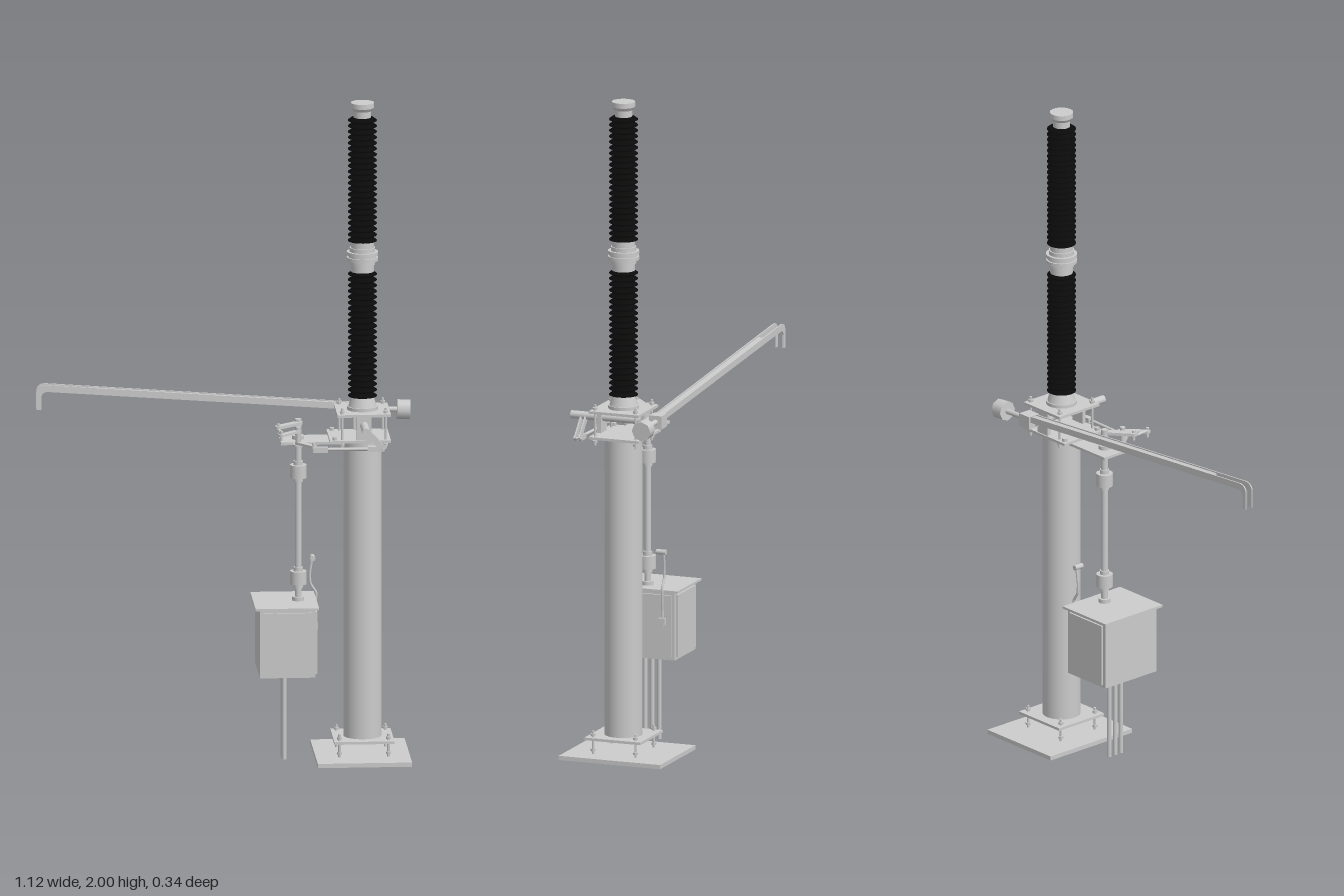
import * as THREE from 'three';

const grey = new THREE.MeshStandardMaterial({ color: 0xcccccc, side: THREE.DoubleSide });
const black = new THREE.MeshStandardMaterial({ color: 0x0a0a0a });
const CX = 0.407; // column axis
const V = (x, y, z) => new THREE.Vector3(x, y, z);

export function createModel() {
  const root = new THREE.Group();

  const add = (name, geo, x = 0, y = 0, z = 0, mat = grey) => {
    const m = new THREE.Mesh(geo, mat);
    m.name = name;
    m.position.set(x, y, z);
    root.add(m);
    return m;
  };
  // box given by its minimum and maximum corners
  const box = (name, x0, x1, y0, y1, z0, z1) =>
    add(name, new THREE.BoxGeometry(x1 - x0, y1 - y0, z1 - z0), (x0 + x1) / 2, (y0 + y1) / 2, (z0 + z1) / 2);
  // round bar between two points
  const bar = (name, a, b, r, seg = 16) => {
    const m = add(name, new THREE.CylinderGeometry(r, r, a.distanceTo(b), seg));
    m.position.copy(a).lerp(b, 0.5);
    m.quaternion.setFromUnitVectors(V(0, 1, 0), b.clone().sub(a).normalize());
    return m;
  };
  // flat bar with round ends, lying in the XZ plane
  const flatLink = (name, x0, z0, x1, z1, y, w, t) => {
    const len = Math.hypot(x1 - x0, z1 - z0);
    const s = new THREE.Shape();
    s.absarc(0, 0, w, Math.PI / 2, Math.PI * 1.5);
    s.absarc(len, 0, w, -Math.PI / 2, Math.PI / 2);
    const g = new THREE.ExtrudeGeometry(s, { depth: t, bevelEnabled: false, curveSegments: 8 });
    g.rotateX(Math.PI / 2);
    add(name, g, x0, y, z0).rotation.y = -Math.atan2(z1 - z0, x1 - x0);
  };
  const bolt = (x, z, y0, y1) => {
    bar('stud', V(x, y0, z), V(x, y1, z), 0.004, 8);
    for (const y of [y0 + 0.012, y1 - 0.012]) add('nut', new THREE.CylinderGeometry(0.008, 0.008, 0.007, 6), x, y, z);
  };

  // base and column
  box('basePlate', 0.263, 0.545, 0, 0.013, -0.173, 0.153);
  box('columnFlange', CX - 0.09, CX + 0.09, 0.056, 0.064, -0.09, 0.09);
  add('column', new THREE.CylinderGeometry(0.057, 0.057, 0.92, 40), CX, 0.52, 0);
  for (const sx of [-1, 1]) for (const sz of [-1, 1]) {
    bolt(CX + sx * 0.073, sz * 0.068, 0.013, 0.083);
    bolt(CX + sx * 0.065, sz * 0.065, 0.955, 1.08);
  }

  // column head: mounting plates and bracket for the linkage
  box('lowerHeadPlate', 0.305, CX + 0.08, 0.975, 0.983, -0.08, 0.08);
  box('upperHeadPlate', CX - 0.08, CX + 0.08, 1.054, 1.062, -0.08, 0.08);
  box('linkageBracket', 0.16, 0.34, 0.966, 0.974, -0.05, 0.05);
  for (const z of [-0.065, 0.065]) add('bracketBolt', new THREE.CylinderGeometry(0.008, 0.008, 0.02, 6), 0.32, 0.982, z);

  // post insulator: two ribbed sections with metal fittings
  const sheds = (name, y0, y1, n) => {
    const pts = [new THREE.Vector2(0.001, y0)];
    const p = (y1 - y0) / n;
    for (let i = 0; i < n; i++) {
      const y = y0 + i * p;
      pts.push(new THREE.Vector2(0.032, y), new THREE.Vector2(0.032, y + p * 0.3),
        new THREE.Vector2(0.043, y + p * 0.42), new THREE.Vector2(0.043, y + p * 0.55));
    }
    pts.push(new THREE.Vector2(0.032, y1), new THREE.Vector2(0.001, y1));
    add(name, new THREE.LatheGeometry(pts, 32), CX, 0, 0, black);
  };
  sheds('lowerInsulator', 1.095, 1.485, 22);
  sheds('upperInsulator', 1.57, 1.955, 22);
  // stacked straight steps: [radius, bottom, top, topRadius]
  const fitting = (name, steps) => steps.forEach(([r, y0, y1, rt = r]) =>
    add(name, new THREE.CylinderGeometry(rt, r, y1 - y0, 32), CX, (y0 + y1) / 2, 0));
  fitting('insulatorFoot', [[0.046, 1.062, 1.072], [0.042, 1.072, 1.1, 0.034]]);
  fitting('insulatorJoint', [[0.034, 1.48, 1.505], [0.038, 1.505, 1.517], [0.047, 1.517, 1.528],
    [0.042, 1.528, 1.534], [0.047, 1.534, 1.545], [0.038, 1.545, 1.557], [0.034, 1.557, 1.575]]);
  fitting('topCap', [[0.026, 1.95, 1.975], [0.028, 1.975, 1.985, 0.035], [0.035, 1.985, 2]]);

  // turning shaft, hub and counterweight
  const shaftY = 1.028, armZ = -0.117;
  bar('shaft', V(CX, shaftY, -0.11), V(CX, shaftY, 0.167), 0.012, 24);
  for (const z of [-0.07, 0.07]) box('shaftBearing', CX - 0.022, CX + 0.022, 0.983, 1.054, z - 0.006, z + 0.006);
  box('armHub', 0.4, 0.443, 1.015, 1.055, -0.137, -0.097);
  bar('counterweightRod', V(0.44, 1.036, armZ), V(0.53, 1.032, armZ), 0.008);
  bar('counterweight', V(0.518, 1.033, armZ), V(0.557, 1.031, armZ), 0.03, 8);

  // swinging arm: two side bars with hooked ends and a web between them
  const arm = new THREE.Shape();
  arm.moveTo(0.43, 1.033);
  arm.lineTo(-0.525, 1.105);
  arm.quadraticCurveTo(-0.543, 1.106, -0.545, 1.09);
  arm.lineTo(-0.545, 1.05);
  arm.lineTo(-0.56, 1.05);
  arm.lineTo(-0.56, 1.1);
  arm.quadraticCurveTo(-0.56, 1.127, -0.53, 1.126);
  arm.lineTo(0.43, 1.052);
  const armGeo = new THREE.ExtrudeGeometry(arm, { depth: 0.004, bevelEnabled: false });
  for (const z of [-0.13, -0.106]) add('armSideBar', armGeo, 0, 0, z);
  const web = add('armWeb', new THREE.BoxGeometry(0.83, 0.01, 0.022), 0.01, 1.076, armZ);
  web.rotation.z = -Math.atan2(0.073, 0.955);

  // lever on the shaft and the link rod to the bell crank
  for (const z of [0.119, 0.133]) {
    const lever = add('shaftLever', new THREE.BoxGeometry(0.09, 0.018, 0.005), 0.432, 0.999, z);
    lever.rotation.z = -0.83;
  }
  bar('shaftLeverPin', V(0.46, 0.968, 0.11), V(0.46, 0.968, 0.14), 0.005, 10);
  bar('linkRod', V(0.253, 0.968, 0.121), V(0.46, 0.968, 0.127), 0.005, 10);
  for (const x of [0.275, 0.435]) box('linkClevis', x - 0.02, x + 0.02, 0.96, 0.976, 0.116, 0.132);

  // bell crank beside the bracket, with the upper crank on the drive rod
  flatLink('upperCrank', 0.217, 0.005, 0.152, 0.06, 1.028, 0.011, 0.009);
  bar('connectingRod', V(0.152, 1.016, 0.06), V(0.157, 1.016, 0.12), 0.005, 10);
  flatLink('bellCrankArm', 0.21, 0.068, 0.157, 0.12, 1.016, 0.009, 0.007);
  flatLink('bellCrankArm', 0.21, 0.068, 0.253, 0.12, 0.98, 0.009, 0.007);
  flatLink('bellCrankSupport', 0.21, 0.03, 0.21, 0.068, 0.972, 0.014, 0.006);
  bar('bellCrankPivot', V(0.21, 0.96, 0.068), V(0.21, 1.026, 0.068), 0.008);
  for (const [x, z, y] of [[0.152, 0.06, 1.02], [0.157, 0.12, 1.012], [0.253, 0.12, 0.974]])
    bar('linkPin', V(x, y - 0.016, z), V(x, y + 0.014, z), 0.005, 10);

  // vertical drive rod with couplings
  bar('driveRod', V(0.215, 0.48, 0), V(0.215, 1.035, 0), 0.01, 20);
  for (const y of [0.55, 0.875]) {
    bar('coupling', V(0.215, y - 0.02, 0), V(0.215, y + 0.02, 0), 0.025, 20);
    bar('couplingSleeve', V(0.215, y - 0.032, 0), V(0.215, y + 0.032, 0), 0.014, 20);
  }
  bar('rodBearing', V(0.215, 0.955, 0), V(0.215, 0.985, 0), 0.018, 20);
  bar('rodGland', V(0.215, 0.478, 0), V(0.215, 0.492, 0), 0.018, 20);

  // drive cabinet with lid, doors and conduits
  box('cabinet', 0.094, 0.26, 0.265, 0.473, -0.105, 0.1);
  box('cabinetLid', 0.08, 0.27, 0.473, 0.48, -0.118, 0.112);
  box('frontDoor', 0.104, 0.25, 0.274, 0.464, 0.1, 0.106);
  box('backDoor', 0.104, 0.25, 0.274, 0.464, -0.111, -0.105);
  box('sidePanel', 0.26, 0.266, 0.274, 0.464, -0.095, 0.09);
  for (const z of [-0.02, 0.003, 0.026]) bar('conduit', V(0.171, 0, z), V(0.171, 0.266, z), 0.007, 14);

  // hand crank on the side of the cabinet
  const crank = new THREE.CatmullRomCurve3([V(0.268, 0.37, -0.07), V(0.272, 0.46, -0.07), V(0.274, 0.485, -0.07),
    V(0.256, 0.515, -0.07), V(0.255, 0.55, -0.07), V(0.262, 0.592, -0.07)], false, 'catmullrom', 0.2);
  add('handCrank', new THREE.TubeGeometry(crank, 30, 0.004, 8));
  bar('handCrankGrip', V(0.262, 0.595, -0.078), V(0.262, 0.595, -0.048), 0.008, 12);
  box('handCrankClip', 0.262, 0.278, 0.375, 0.395, -0.08, -0.06);

  return root;
}
